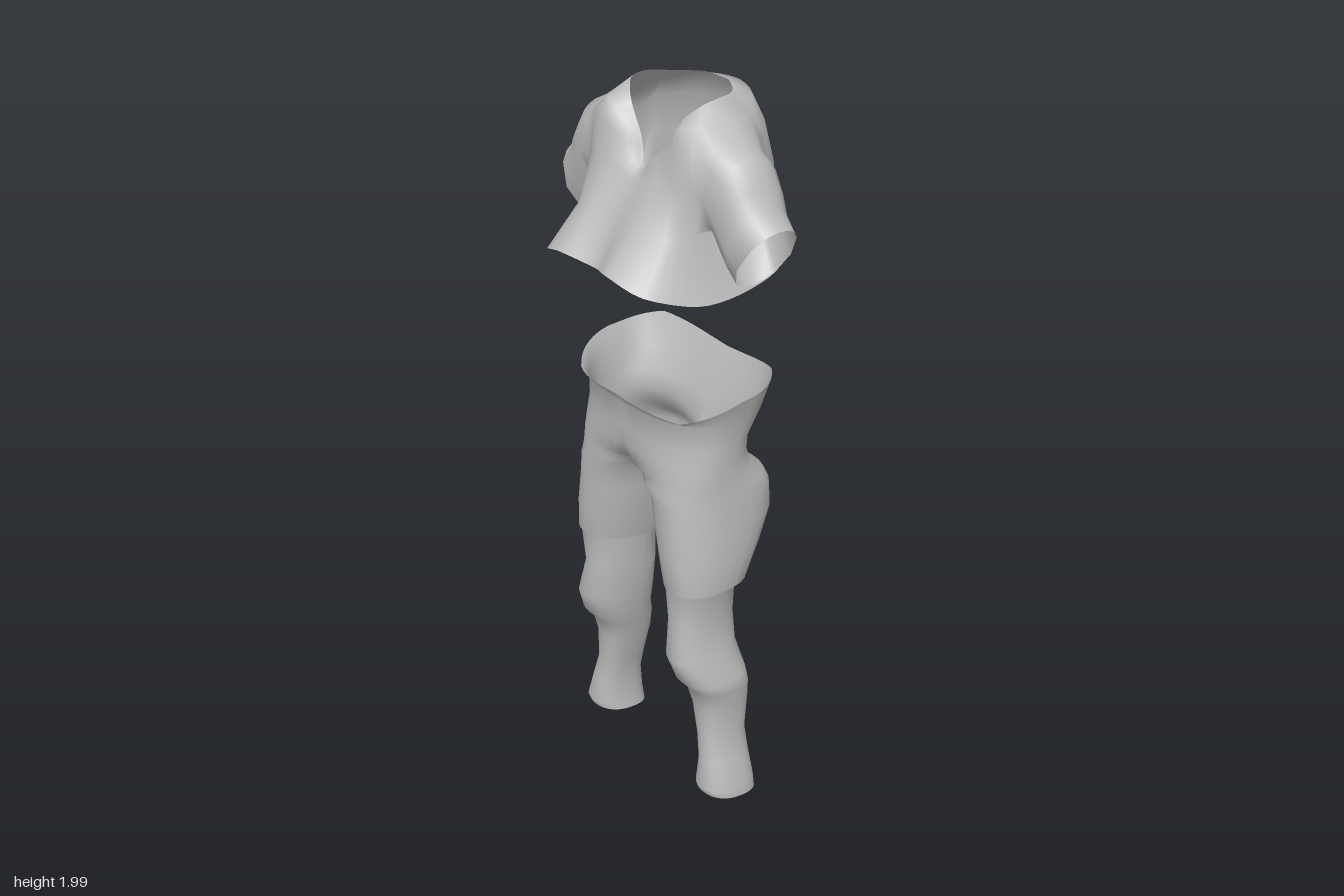
import * as THREE from 'three';
import { mergeGeometries, mergeVertices } from 'three/addons/utils/BufferGeometryUtils.js';

const cloth = new THREE.MeshStandardMaterial({ color: 0xbcbcbc, side: THREE.DoubleSide });
cloth.name = 'grey cloth';

// Skins a stack of cross-sections with equal point counts; skip(row, column) leaves an opening
function loft(rings, flip, skip = () => false) {
  const n = rings[0].length, index = [];
  for (let r = 0; r < rings.length - 1; r++) {
    for (let i = 0; i < n - 1; i++) {
      if (skip(r, i)) continue;
      const a = r * n + i, b = a + 1, c = a + n, d = c + 1;
      if (flip) index.push(a, c, b, b, c, d);
      else index.push(a, b, c, b, d, c);
    }
  }
  const geo = new THREE.BufferGeometry();
  geo.setAttribute('position', new THREE.Float32BufferAttribute(rings.flat().flatMap(p => [p.x, p.y, p.z]), 3));
  geo.setIndex(index);
  return geo;
}

// Sews pieces into one smooth garment
function garment(name, pieces) {
  const geo = mergeVertices(mergeGeometries(pieces), 1e-4);
  geo.computeVertexNormals();
  const mesh = new THREE.Mesh(geo, cloth);
  mesh.name = name;
  return mesh;
}

// Half outlines of the bodice: front centre, round the left side, to back centre
const BODICE = [
  [[0, 1.575, .24], [.1, 1.598, .28], [.205, 1.565, .245], [.262, 1.53, .12], [.275, 1.535, 0], [.256, 1.56, -.135], [.14, 1.565, -.24], [0, 1.57, -.282]],
  [[0, 1.69, .18], [.1, 1.69, .195], [.18, 1.68, .16], [.205, 1.69, .085], [.21, 1.69, 0], [.225, 1.7, -.115], [.14, 1.69, -.225], [0, 1.69, -.275]],
  [[0, 1.78, .122], [.09, 1.8, .125], [.17, 1.8, .118], [.22, 1.8, .09], [.24, 1.8, 0], [.23, 1.8, -.112], [.14, 1.8, -.213], [0, 1.8, -.262]],
  [[0, 1.8, .1], [.06, 1.855, .1], [.15, 1.9, .11], [.215, 1.9, .08], [.25, 1.91, -.02], [.215, 1.9, -.108], [.13, 1.91, -.188], [0, 1.91, -.232]],
  [[0, 1.805, .09], [.055, 1.86, .07], [.135, 1.94, .09], [.185, 1.945, .055], [.2, 1.955, -.03], [.175, 1.95, -.1], [.1, 1.975, -.17], [0, 1.98, -.2]],
  [[0, 1.81, .085], [.05, 1.86, .055], [.1, 1.94, .05], [.143, 1.985, .02], [.145, 1.995, -.03], [.11, 1.99, -.1], [.05, 1.995, -.14], [0, 1.99, -.155]],
];
const AROUND = 56;
// The armhole spans these columns and rows of the bodice
const ARM = { front: 12, back: 20, low: 1, high: 4 };

function bodiceRings() {
  return BODICE.map(half => {
    const left = half.map(p => new THREE.Vector3(...p));
    const right = left.slice(1, -1).reverse().map(p => new THREE.Vector3(-p.x, p.y, p.z));
    const curve = new THREE.CatmullRomCurve3([...left, ...right], true, 'catmullrom', 0.45);
    return Array.from({ length: AROUND + 1 }, (_, i) => curve.getPoint((i % AROUND) / AROUND));
  });
}

function inArmhole(row, col) {
  const c = col < AROUND / 2 ? col : AROUND - 1 - col;
  return row >= ARM.low && row < ARM.high && c >= ARM.front && c < ARM.back;
}

// Sleeve loops from shoulder to cuff: top x, top y, bottom x, bottom y, half depth
const SLEEVE = [
  [.26, 1.914, .235, 1.685, .103],
  [.305, 1.893, .247, 1.665, .102],
  [.343, 1.835, .268, 1.63, .098],
  [.365, 1.787, .287, 1.6, .092],
  [.415, 1.743, .31, 1.57, .085],
];

function sleeve(rings, side) {
  // Armhole rim: along the bottom, up the back, over the top, down the front
  const rim = [];
  for (let c = ARM.front; c < ARM.back; c++) rim.push(rings[ARM.low][c]);
  for (let r = ARM.low; r < ARM.high; r++) rim.push(rings[r][ARM.back]);
  for (let c = ARM.back; c > ARM.front; c--) rim.push(rings[ARM.high][c]);
  for (let r = ARM.high; r >= ARM.low; r--) rim.push(rings[r][ARM.front]);
  const loops = SLEEVE.map(([tx, ty, bx, by, d]) => rim.map(p => {
    const a = Math.atan2((p.z + .015) / .1, (p.y - 1.815) / .135), k = (1 + Math.cos(a)) / 2;
    return new THREE.Vector3(bx + (tx - bx) * k, by + (ty - by) * k, -.006 + d * Math.sin(a));
  }));
  const placed = [rim, ...loops].map(loop => loop.map(p => new THREE.Vector3(side * p.x, p.y, p.z)));
  return loft(placed, side < 0);
}

// Trouser levels: y, inner x, outer x, front z, back z, arc opening (1 = closed leg, 0.5 = half waist)
const TROUSER = [
  [.018, .195, .33, .092, -.075, 1],
  [.05, .2, .328, .1, -.07, 1],
  [.13, .205, .305, .088, -.062, 1],
  [.2, .188, .287, .08, -.062, 1],
  [.3, .165, .288, .085, -.075, 1],
  [.36, .148, .298, .1, -.073, 1],
  [.4, .138, .3, .135, -.065, 1],
  [.48, .125, .27, .165, -.053, 1],
  [.58, .11, .258, .145, -.05, 1],
  [.68, .098, .275, .15, -.045, 1],
  [.69, .094, .282, .158, -.085, 1],
  [.78, .068, .284, .163, -.135, 1],
  [.87, .042, .278, .163, -.183, 1],
  [.94, .025, .274, .163, -.183, 1],
  [.975, 0, .27, .163, -.165, 1],
  [1.01, 0, .268, .165, -.125, .7],
  [1.06, 0, .268, .165, -.118, .56],
  [1.11, 0, .268, .165, -.132, .5],
  [1.18, 0, .272, .168, -.16, .5],
  [1.24, 0, .292, .19, -.188, .5],
];
// Height of the waistband edge from front centre to back centre
const WAIST_RISE = [-.025, -.045, .005, .032, 0];

function trouser(side) {
  const n = 28, top = TROUSER.length - 1;
  const rings = TROUSER.map(([y, xin, xout, zf, zb, open], row) => {
    const span = Math.PI * open;
    const pow = (v, p) => Math.sign(v) * Math.abs(v) ** p;
    const r = (xout - xin) / (1 - (open === .5 ? 0 : pow(Math.cos(span), .85)));
    return Array.from({ length: n + 1 }, (_, i) => {
      const t = i / n, a = span * (1 - 2 * t), s = Math.sin(a);
      const p = y > 1.15 && s < 0 ? .68 : .85;
      let x = i % n === 0 ? xin : xout - r + r * pow(Math.cos(a), p);
      // inner thigh slants: wide gap in front, narrow behind
      if (y > .45 && y < .96) x += .022 * s * (1 - Math.cos(a)) / 2;
      let rise = 0;
      if (row === top) {
        const k = Math.min(Math.floor(t * 4), 3);
        rise = THREE.MathUtils.lerp(WAIST_RISE[k], WAIST_RISE[k + 1], t * 4 - k);
      } else if (row === 0) rise = .012 * s;
      return new THREE.Vector3(side * x, y + rise, (zf + zb) / 2 + (zf - zb) / 2 * pow(s, p));
    });
  });
  return loft(rings, side < 0);
}

export function createModel() {
  const model = new THREE.Group();
  model.name = 'outfit';
  const rings = bodiceRings();
  model.add(
    garment('croppedTop', [loft(rings, false, inArmhole), sleeve(rings, 1), sleeve(rings, -1)]),
    garment('trousers', [trouser(1), trouser(-1)]),
  );
  return model;
}
